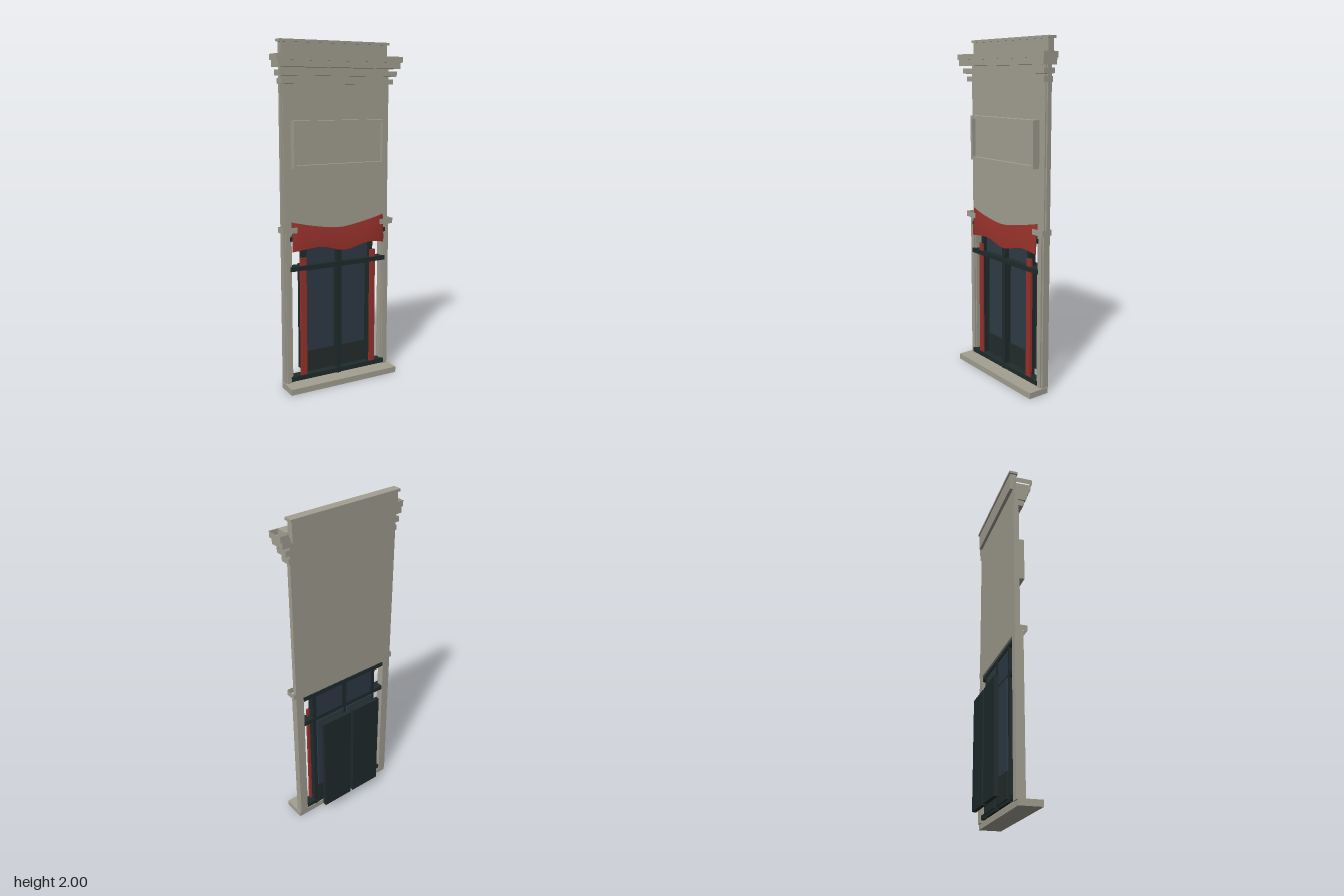
import * as THREE from 'three';

const mat = (name, color, side = THREE.FrontSide) => {
  const m = new THREE.MeshStandardMaterial({ color, side });
  m.name = name;
  return m;
};

export function createModel() {
  const group = new THREE.Group();
  const stone = mat('stone', 0xa3a092);
  const stoneOpen = stone.clone();
  stoneOpen.side = THREE.DoubleSide;
  const dark = mat('dark frame', 0x1f2b2c);
  const panelMat = mat('dark panel', 0x232d2c);
  const glass = mat('glass', 0x2e3b47);
  const red = mat('red cloth', 0x98322b);

  const add = (name, geo, m) => {
    const mesh = new THREE.Mesh(geo, m);
    mesh.name = name;
    group.add(mesh);
    return mesh;
  };
  // box from its limits on each axis
  const box = (name, m, x0, x1, y0, y1, z0, z1) => {
    const mesh = add(name, new THREE.BoxGeometry(x1 - x0, y1 - y0, z1 - z0), m);
    mesh.position.set((x0 + x1) / 2, (y0 + y1) / 2, (z0 + z1) / 2);
    return mesh;
  };
  const pair = (name, m, x0, x1, ...rest) => {
    box(name + 'Left', m, x0, x1, ...rest);
    box(name + 'Right', m, -x1, -x0, ...rest);
  };
  // end block of a moulding, open at top and bottom
  const ends = (name, x0, x1, y0, y1, z0, z1) => {
    for (const s of [1, -1]) {
      const g = new THREE.BoxGeometry(x1 - x0, y1 - y0, z1 - z0);
      const idx = Array.from(g.index.array);
      idx.splice(12, 12);
      g.setIndex(idx);
      g.clearGroups();
      const mesh = add(name + (s > 0 ? 'Left' : 'Right'), g, stoneOpen);
      mesh.position.set(s * (x0 + x1) / 2, (y0 + y1) / 2, (z0 + z1) / 2);
    }
  };

  // wall, parapet and step
  box('wall', stone, -0.34, 0.34, 0.92, 1.9, -0.035, 0);
  pair('wallEdge', stone, 0.34, 0.35, 0.92, 1.9, -0.035, -0.008);
  box('parapet', stone, -0.342, 0.342, 1.875, 1.987, -0.053, -0.015);
  box('parapetCap', stone, -0.352, 0.352, 1.985, 2, -0.06, -0.008);
  box('step', stone, -0.355, 0.355, 0, 0.035, -0.027, 0.104);

  // cornice bands: half width, bottom, top, front
  [[0.4, 1.885, 1.918, 0.064], [0.39, 1.85, 1.885, 0.058],
    [0.374, 1.805, 1.835, 0.042], [0.358, 1.76, 1.79, 0.026]].forEach(([w, y0, y1, z], i) => {
    box('corniceBand' + i, stone, -0.348, 0.348, y0, y1, -0.01, z);
    ends('corniceEnd' + i, 0.348, w, y0, y1, -0.035, z);
  });

  // framed sign panel
  const rect = (P, w, y0, y1) => {
    const p = new P();
    p.moveTo(-w, y0).lineTo(w, y0).lineTo(w, y1).lineTo(-w, y1).closePath();
    return p;
  };
  const frame = rect(THREE.Shape, 0.295, 1.296, 1.56);
  frame.holes.push(rect(THREE.Path, 0.278, 1.314, 1.542));
  add('signFrame', new THREE.ExtrudeGeometry(frame, { depth: 0.045, bevelEnabled: false }), stone);
  box('signPanel', stone, -0.28, 0.28, 1.312, 1.544, 0, 0.022);

  // pilasters with inner strips and capitals
  pair('pilaster', stone, 0.308, 0.34, 0.03, 0.94, -0.035, 0.018);
  pair('pilasterOuter', stone, 0.34, 0.35, 0.03, 0.94, -0.035, 0.008);
  pair('pilasterInner', stone, 0.3, 0.308, 0.03, 0.94, -0.035, 0.008);
  ends('capital', 0.275, 0.364, 0.932, 0.965, -0.035, 0.032);

  // dark frame of rails and mullions
  [[0.045, 0.072], [0.708, 0.735], [0.885, 0.91]].forEach(([y0, y1], i) =>
    box('rail' + i, dark, -0.315, 0.315, y0, y1, -0.03, 0.026));
  pair('sideMullion', dark, 0.21, 0.235, 0.04, 0.91, -0.03, 0.012);
  box('centreMullion', dark, -0.015, 0.015, 0.04, 0.91, -0.03, 0.022);

  // doors, transom windows and rear slabs
  pair('doorGlass', glass, 0.013, 0.212, 0.2, 0.71, -0.04, -0.022);
  pair('doorKickPanel', panelMat, 0.015, 0.21, 0.06, 0.2, -0.038, -0.015);
  pair('doorTopRail', dark, 0.015, 0.21, 0.694, 0.71, -0.036, -0.012);
  pair('doorStile', dark, 0.202, 0.21, 0.06, 0.71, -0.036, -0.012);
  pair('transomGlass', glass, 0.013, 0.212, 0.733, 0.89, -0.025, -0.01);
  pair('rearDoorSlab', dark, 0.01, 0.21, 0.07, 0.72, -0.107, -0.083);

  // hanging side cloths
  pair('sideCloth', red, 0.213, 0.25, 0.065, 0.78, 0.004, 0.02);

  // draped cloth: a thin slab bent between a top and a bottom curve
  const curve = pts => new THREE.SplineCurve(pts.map(p => new THREE.Vector2(...p)));
  const top = curve([[-0.303, 0.993], [-0.15, 0.96], [0, 0.942], [0.15, 0.962], [0.303, 0.993]]);
  const bottom = curve([[-0.303, 0.823], [-0.13, 0.84], [0.025, 0.806], [0.19, 0.838], [0.303, 0.823]]);
  const g = new THREE.BoxGeometry(1, 1, 0.005, 24, 6, 1);
  const p = g.attributes.position;
  for (let i = 0; i < p.count; i++) {
    const u = p.getX(i) + 0.5, v = p.getY(i) + 0.5;
    const a = bottom.getPoint(u).lerp(top.getPoint(u), v);
    const z = 0.042 - 0.016 * Math.pow(Math.abs(2 * u - 1), 4) - 0.01 * v * v;
    p.setXYZ(i, a.x, a.y, z + p.getZ(i));
  }
  g.computeVertexNormals();
  add('drapedCloth', g, red);

  return group;
}
